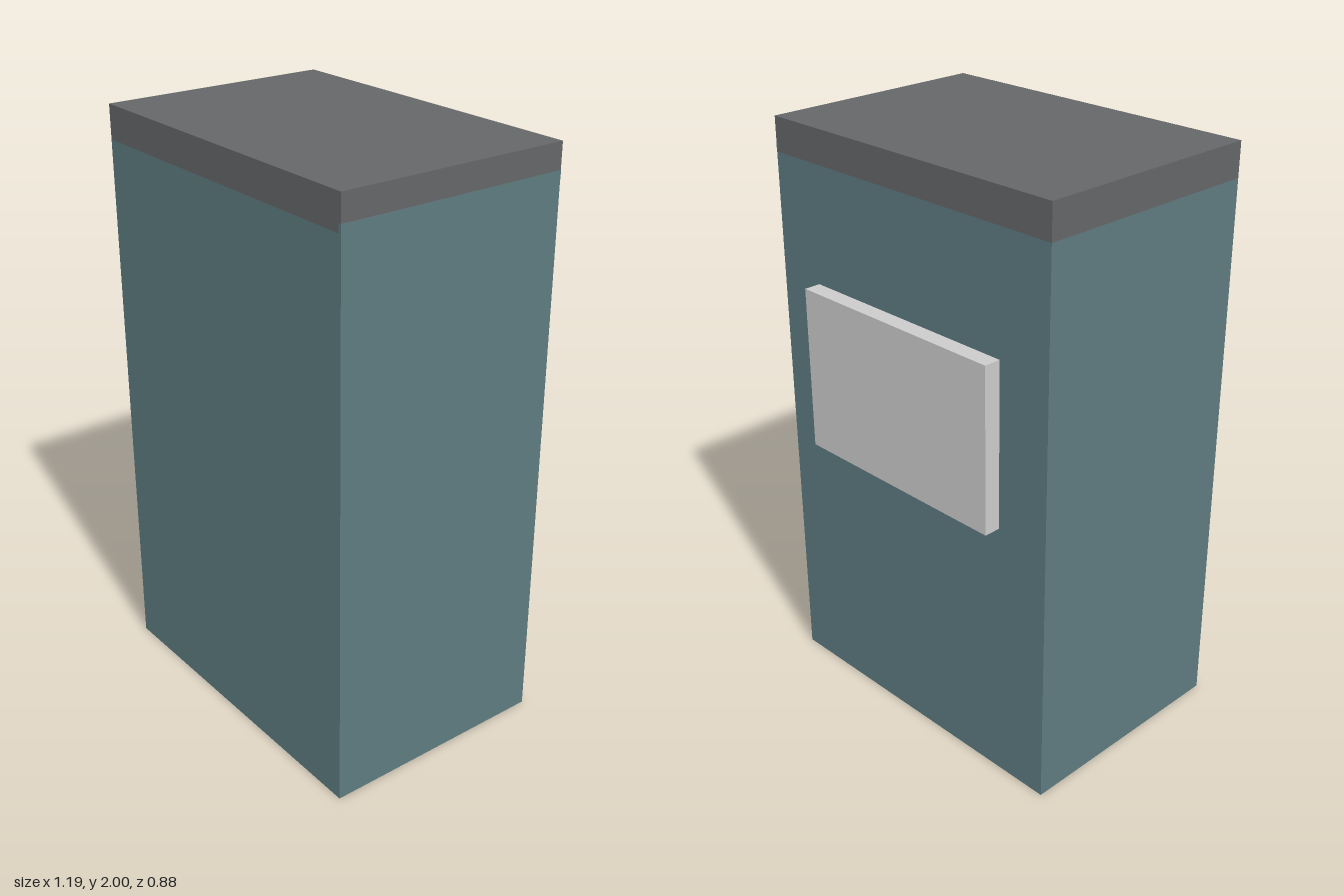
import * as THREE from 'three';

const teal = new THREE.MeshStandardMaterial({ color: 0x5e7b80 });
const darkGrey = new THREE.MeshStandardMaterial({ color: 0x646668 });
const grey = new THREE.MeshStandardMaterial({ color: 0xcccccc });

// Box given by its lower and upper corners
function box(name, material, min, max) {
  const size = max.map((v, i) => v - min[i]);
  const mesh = new THREE.Mesh(new THREE.BoxGeometry(...size), material);
  mesh.position.set(...max.map((v, i) => (v + min[i]) / 2));
  mesh.name = name;
  return mesh;
}

export function createModel() {
  const group = new THREE.Group();
  group.name = 'cabinet';
  const w = 0.597, back = -0.374, front = 0.438, capBottom = 1.885;

  // Main body with a flush dark top slab
  group.add(box('body', teal, [-w, 0, back], [w, capBottom, front]));
  group.add(box('topSlab', darkGrey, [-w, capBottom, back], [w, 2, front]));

  // The body colour rises slightly higher on the left side
  group.add(box('sideTrim', teal, [w - 0.01, capBottom, back], [w + 0.001, 1.913, front]));

  // Plate standing just off the back
  group.add(box('backPlate', grey, [-0.41, 0.93, -0.438], [0.41, 1.49, -0.381]));
  return group;
}
